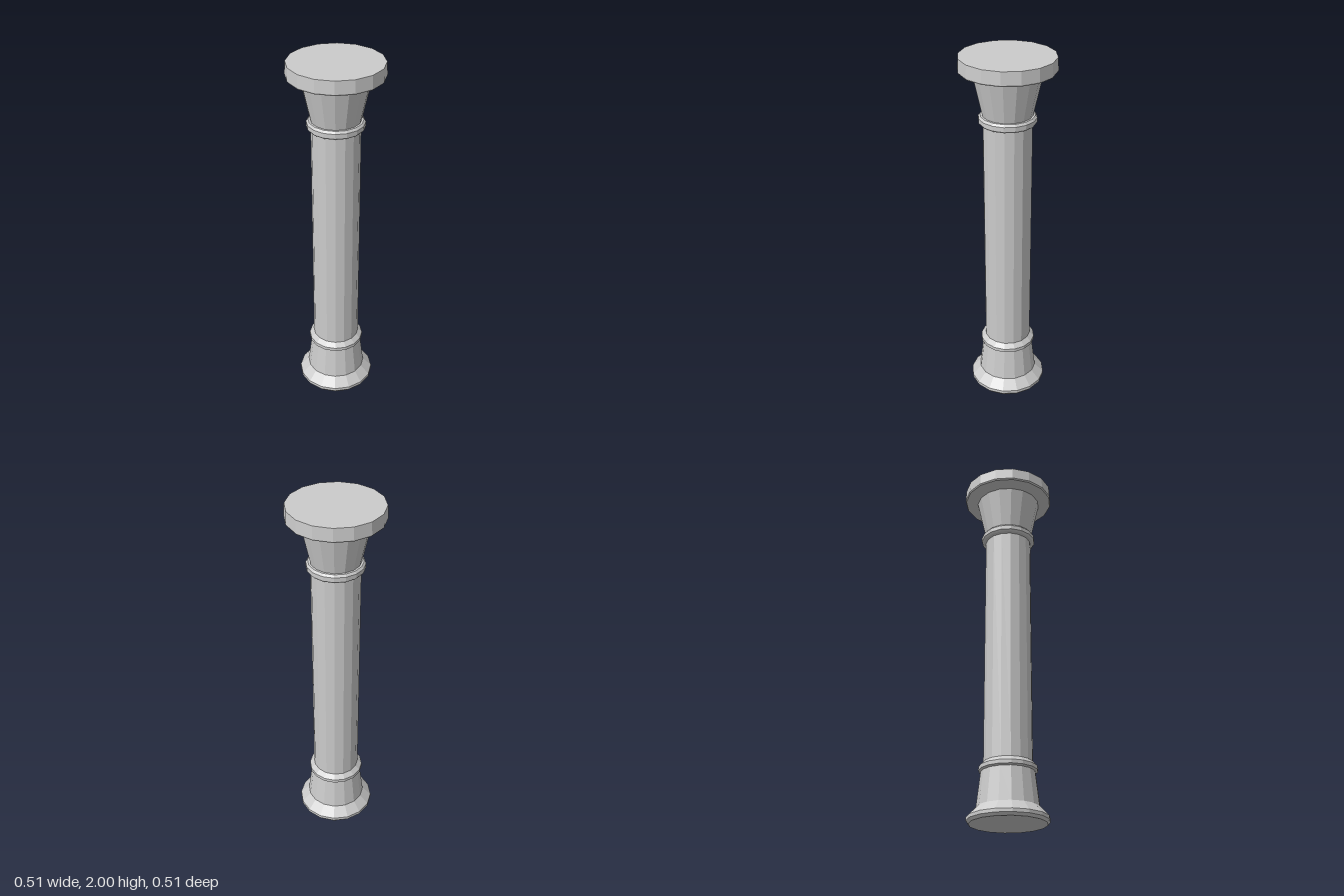
import * as THREE from 'three';

const SIDES = 16;

export function createModel() {
  const column = new THREE.Group();
  column.name = 'column';
  const stone = new THREE.MeshStandardMaterial({ color: 0xcccccc, flatShading: true });

  // Turned part from [radius, height] pairs, listed bottom to top
  const turn = (name, profile) => {
    const points = profile.map(([r, y]) => new THREE.Vector2(r, y));
    const mesh = new THREE.Mesh(new THREE.LatheGeometry(points, SIDES), stone);
    mesh.name = name;
    column.add(mesh);
  };

  // Closed foot with a sloping flare
  turn('foot', [[0, 0], [0.203, 0], [0.215, 0.015], [0.215, 0.033], [0.165, 0.085]]);

  // Tapered pedestal above the foot
  turn('pedestal', [[0.165, 0.085], [0.143, 0.268]]);

  // Lower moulding ring
  turn('lowerRing', [[0.143, 0.268], [0.155, 0.275], [0.155, 0.295], [0.14, 0.31], [0.13, 0.32]]);

  // Straight shaft
  turn('shaft', [[0.13, 0.32], [0.13, 1.64]]);

  // Upper moulding ring
  turn('upperRing', [[0.13, 1.64], [0.145, 1.645], [0.153, 1.655], [0.153, 1.678], [0.143, 1.69], [0.132, 1.69]]);

  // Flaring capital
  turn('capital', [[0.132, 1.69], [0.181, 1.912]]);

  // Round slab with a shallow sloping underside and flat top
  turn('slab', [[0.181, 1.912], [0.25, 1.925], [0.255, 1.933], [0.251, 2], [0, 2]]);

  return column;
}
